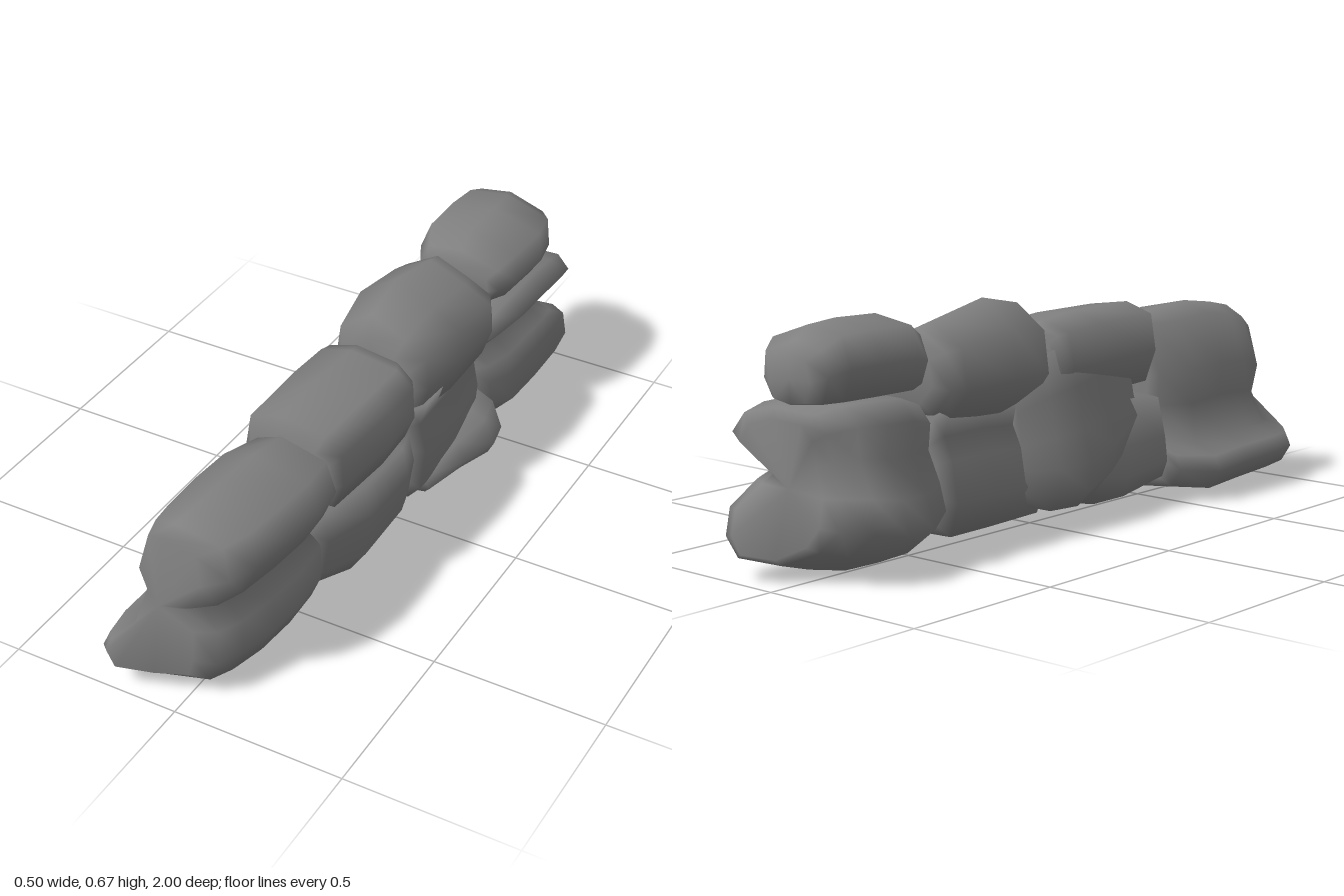
import * as THREE from 'three';

const material = new THREE.MeshStandardMaterial({ color: 0x808080, side: THREE.DoubleSide });

// Lofts one worn stone: an outline (x, y, counter-clockwise seen from the front)
// is fitted at each depth z into the box [z, xLow, xHigh, yLow, yHigh, bulge].
// An outline point may carry a third value, moved along z in proportion to bulge.
function stone(name, outline, sections) {
  const n = outline.length, last = sections.length - 1;
  const box = new THREE.Box2().setFromPoints(outline.map(([x, y]) => new THREE.Vector2(x, y)));
  const size = box.getSize(new THREE.Vector2());
  const pos = [], index = [];
  for (const [z, x0, x1, y0, y1, bulge = 0] of sections) {
    for (const [x, y, dz = 0] of outline) {
      pos.push(x0 + (x - box.min.x) / size.x * (x1 - x0), y0 + (y - box.min.y) / size.y * (y1 - y0), z + dz * bulge);
    }
  }
  for (let i = 0; i < last; i++) {
    for (let j = 0; j < n; j++) {
      const a = i * n + j, b = i * n + (j + 1) % n;
      index.push(a, a + n, b, b, a + n, b + n);
    }
  }
  // End faces
  for (const i of [0, last]) {
    const [z, x0, x1, y0, y1] = sections[i];
    const c = pos.length / 3;
    pos.push((x0 + x1) / 2, (y0 + y1) / 2, z);
    for (let j = 0; j < n; j++) {
      const a = i * n + j, b = i * n + (j + 1) % n;
      if (i === 0) index.push(c, a, b); else index.push(c, b, a);
    }
  }
  const geo = new THREE.BufferGeometry();
  geo.setAttribute('position', new THREE.Float32BufferAttribute(pos, 3));
  geo.setIndex(index);
  geo.computeVertexNormals();
  const mesh = new THREE.Mesh(geo, material);
  mesh.name = name;
  return mesh;
}

export function createModel() {
  const wall = new THREE.Group();
  wall.name = 'stoneWall';
  wall.add(
    // Front block, notched on +x, with a foot reaching forward on -x
    stone('frontBlock', [
      [-0.21, 0.055, 0.06], [-0.05, 0.04, 0.02], [0.10, 0.05, -0.01], [0.14, 0.13], [0.14, 0.24, -0.01],
      [0.07, 0.305, -0.02], [0.15, 0.35], [0.20, 0.45], [0.165, 0.54, -0.02], [0, 0.575, -0.01],
      [-0.09, 0.545, -0.03], [-0.15, 0.4, -0.03], [-0.14, 0.3, -0.05], [-0.16, 0.19, 0], [-0.23, 0.155, 0.05],
      [-0.25, 0.11, 0.06]], [
      [0.94, -0.205, 0.06, 0.07, 0.51, 1], [0.91, -0.235, 0.13, 0.05, 0.545, 1],
      [0.84, -0.25, 0.17, 0.045, 0.56, 0.6], [0.72, -0.25, 0.195, 0.035, 0.575],
      [0.58, -0.25, 0.20, 0.025, 0.565], [0.47, -0.185, 0.185, 0.04, 0.56],
      [0.45, -0.14, 0.15, 0.07, 0.53]]),
    // Second block: capstone, base and a leaning side stone on -x
    stone('secondCapstone', [
      [-0.08, 0.36], [0.05, 0.34], [0.18, 0.35], [0.21, 0.43], [0.205, 0.53],
      [0.15, 0.58], [0, 0.6], [-0.10, 0.57], [-0.12, 0.46]], [
      [0.465, -0.08, 0.16, 0.38, 0.55], [0.44, -0.11, 0.19, 0.35, 0.60],
      [0.2, -0.115, 0.205, 0.34, 0.598], [0.06, -0.115, 0.20, 0.345, 0.585],
      [0.02, -0.105, 0.175, 0.35, 0.578], [0.005, -0.08, 0.14, 0.38, 0.55]]),
    stone('secondBaseStone', [
      [-0.11, 0.05], [0, 0.01], [0.13, 0.025], [0.18, 0.1], [0.2, 0.24], [0.18, 0.34],
      [0.05, 0.355], [-0.09, 0.34], [-0.12, 0.2], [-0.13, 0.11]], [
      [0.48, -0.12, 0.10, 0.10, 0.28], [0.45, -0.15, 0.15, 0.055, 0.335],
      [0.29, -0.13, 0.195, 0.01, 0.35], [0.1, -0.12, 0.205, 0.045, 0.355],
      [0.02, -0.11, 0.18, 0.05, 0.345], [-0.02, -0.08, 0.14, 0.1, 0.33]]),
    stone('secondSideStone', [
      [-0.12, 0.06], [0, 0.06], [0, 0.52], [-0.09, 0.52], [-0.12, 0.4], [-0.145, 0.28],
      [-0.175, 0.19], [-0.165, 0.11]], [
      [0.36, -0.11, 0, 0.2, 0.5], [0.22, -0.14, 0, 0.1, 0.54],
      [0.07, -0.175, 0, 0.06, 0.53], [-0.03, -0.15, 0, 0.06, 0.5], [-0.13, -0.10, 0, 0.09, 0.44]]),
    // Third block: peaked capstone, narrower body hollowed on -x, low spur to +x
    stone('thirdCapstone', [
      [-0.06, 0.36], [0.06, 0.34], [0.18, 0.36], [0.21, 0.46], [0.2, 0.565], [0.12, 0.615],
      [0, 0.675], [-0.115, 0.597], [-0.135, 0.46]], [
      [-0.012, -0.07, 0.15, 0.38, 0.58], [-0.045, -0.11, 0.19, 0.35, 0.645],
      [-0.2, -0.135, 0.21, 0.34, 0.675], [-0.4, -0.13, 0.21, 0.35, 0.632],
      [-0.45, -0.115, 0.185, 0.37, 0.618], [-0.475, -0.07, 0.14, 0.41, 0.58]]),
    stone('thirdBody', [
      [-0.07, 0.05], [0.13, 0.045], [0.17, 0.09], [0.185, 0.23], [0.165, 0.32], [0.19, 0.40],
      [-0.07, 0.40], [-0.05, 0.31], [-0.08, 0.25], [-0.10, 0.14]], [
      [-0.015, -0.07, 0.15, 0.10, 0.38], [-0.05, -0.10, 0.185, 0.05, 0.40],
      [-0.25, -0.10, 0.19, 0.045, 0.42], [-0.41, -0.10, 0.17, 0.045, 0.42],
      [-0.46, -0.08, 0.13, 0.09, 0.38]]),
    stone('thirdSpur', [
      [0, 0.05], [0.2, 0.04], [0.23, 0.05], [0.25, 0.09], [0.215, 0.17], [0.12, 0.21], [0, 0.2]], [
      [-0.08, 0.0, 0.18, 0.06, 0.12], [-0.24, 0.0, 0.215, 0.05, 0.17], [-0.36, 0.0, 0.25, 0.04, 0.20],
      [-0.44, 0.0, 0.235, 0.04, 0.22], [-0.48, 0.02, 0.20, 0.06, 0.17]]),
    // Back block: capstone over a body cut in on +x and at its end
    stone('backCapstone', [
      [-0.08, 0.47], [0.05, 0.455], [0.18, 0.47], [0.22, 0.53], [0.21, 0.62],
      [0.06, 0.668], [-0.075, 0.648], [-0.11, 0.56]], [
      [-0.485, -0.05, 0.15, 0.49, 0.58], [-0.5, -0.08, 0.18, 0.47, 0.625],
      [-0.56, -0.11, 0.21, 0.46, 0.665], [-0.7, -0.11, 0.22, 0.46, 0.668], [-0.8, -0.10, 0.20, 0.46, 0.662],
      [-0.87, -0.09, 0.15, 0.465, 0.63], [-0.9, -0.05, 0.10, 0.47, 0.60]]),
    stone('backBody', [
      [-0.12, 0.05], [0, 0.005, -0.05], [0.14, 0.02, -0.1], [0.2, 0.08, -0.1], [0.19, 0.17, -0.09], [0.18, 0.24],
      [0.09, 0.305, 0.04], [0.17, 0.34, -0.03], [0.22, 0.39, -0.055], [0.18, 0.45, -0.04], [0.08, 0.47, -0.01],
      [-0.1, 0.465], [-0.155, 0.41, 0.01], [-0.145, 0.32, 0.03], [-0.20, 0.22, 0.02], [-0.23, 0.13, -0.01]], [
      [-0.46, -0.08, 0.13, 0.09, 0.39], [-0.51, -0.15, 0.18, 0.05, 0.43],
      [-0.61, -0.205, 0.21, 0.005, 0.465], [-0.73, -0.23, 0.22, 0.01, 0.475, 0.15],
      [-0.81, -0.19, 0.225, 0.03, 0.47, 0.7], [-0.87, -0.13, 0.215, 0.05, 0.45, 1],
      [-0.895, -0.08, 0.16, 0.07, 0.425, 1]]),
  );
  return wall;
}
